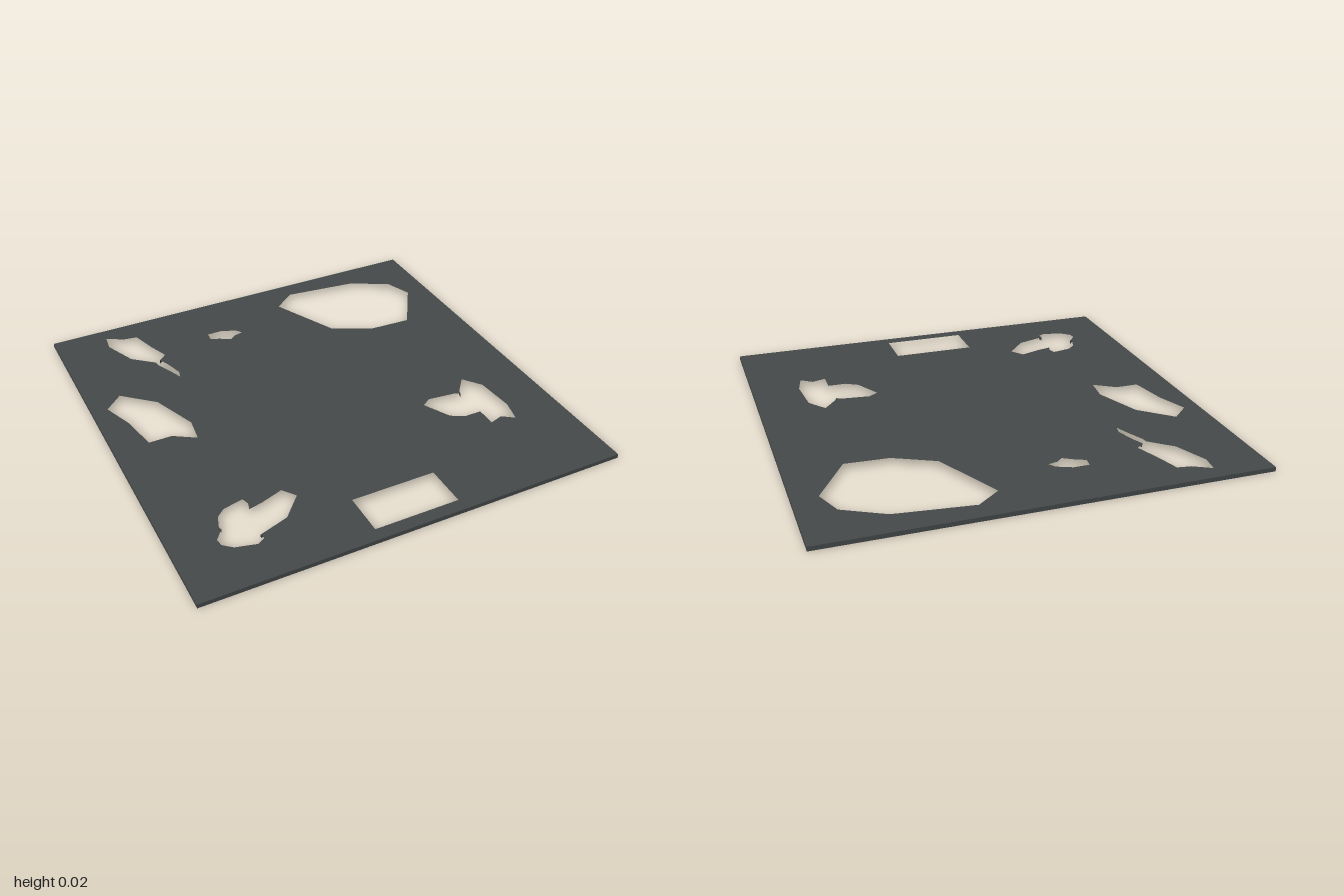
import * as THREE from 'three';

const THICKNESS = 0.02;

// Closed outline from [x, z] points; shape y is -z so the plate can be laid flat
const outline = (Type, points) => new Type(points.map(([x, z]) => new THREE.Vector2(x, -z)));
const rectangle = (x0, z0, x1, z1) => [[x0, z0], [x1, z0], [x1, z1], [x0, z1]];

// Openings in the plate, as [x, z] outlines
const sliverWithTail = [
  [-0.745, -0.925], [-0.665, -0.88], [-0.6, -0.87], [-0.565, -0.755], [-0.525, -0.65],
  [-0.565, -0.615], [-0.54, -0.56], [-0.515, -0.475], [-0.525, -0.435], [-0.555, -0.51],
  [-0.585, -0.575], [-0.59, -0.605], [-0.69, -0.69], [-0.755, -0.845],
];
const smallPatch = [
  [-0.26, -0.73], [-0.185, -0.73], [-0.115, -0.7], [-0.095, -0.67],
  [-0.14, -0.66], [-0.17, -0.635], [-0.22, -0.665], [-0.265, -0.685],
];
const largePatch = [
  [0.185, -0.82], [0.295, -0.905], [0.65, -0.865], [0.835, -0.765],
  [0.885, -0.635], [0.735, -0.39], [0.53, -0.4], [0.34, -0.495],
];
const leftPatch = [
  [-0.84, -0.415], [-0.695, -0.285], [-0.61, -0.065], [-0.625, 0.055],
  [-0.725, -0.01], [-0.835, -0.01], [-0.87, -0.19], [-0.925, -0.335],
];
const frontRightPatch = [
  [0.42, 0.3], [0.465, 0.27], [0.6, 0.285], [0.625, 0.3], [0.63, 0.28],
  [0.695, 0.2], [0.76, 0.285], [0.775, 0.47], [0.75, 0.575], [0.695, 0.535],
  [0.63, 0.555], [0.63, 0.46], [0.545, 0.46], [0.485, 0.425],
];
const frontLeftPatch = [
  [-0.705, 0.55], [-0.61, 0.53], [-0.6, 0.565], [-0.61, 0.6], [-0.545, 0.585],
  [-0.44, 0.55], [-0.395, 0.61], [-0.49, 0.715], [-0.63, 0.76], [-0.625, 0.785],
  [-0.66, 0.805], [-0.755, 0.78], [-0.795, 0.745], [-0.8, 0.71], [-0.76, 0.66],
  [-0.765, 0.645], [-0.745, 0.585],
];
const frontSlot = rectangle(-0.2, 0.74, 0.2, 0.94);

export function createModel() {
  const group = new THREE.Group();
  const darkGrey = new THREE.MeshStandardMaterial({ color: 0x454949 });
  darkGrey.name = 'darkGrey';

  // Square plate pierced by the openings
  const shape = outline(THREE.Shape, rectangle(-1, -1, 1, 1));
  shape.holes = [
    sliverWithTail, smallPatch, largePatch, leftPatch, frontRightPatch, frontLeftPatch, frontSlot,
  ].map((points) => outline(THREE.Path, points));

  const geometry = new THREE.ExtrudeGeometry(shape, { depth: THICKNESS, bevelEnabled: false });
  geometry.rotateX(-Math.PI / 2);

  const plate = new THREE.Mesh(geometry, darkGrey);
  plate.name = 'plate';
  group.add(plate);
  return group;
}
